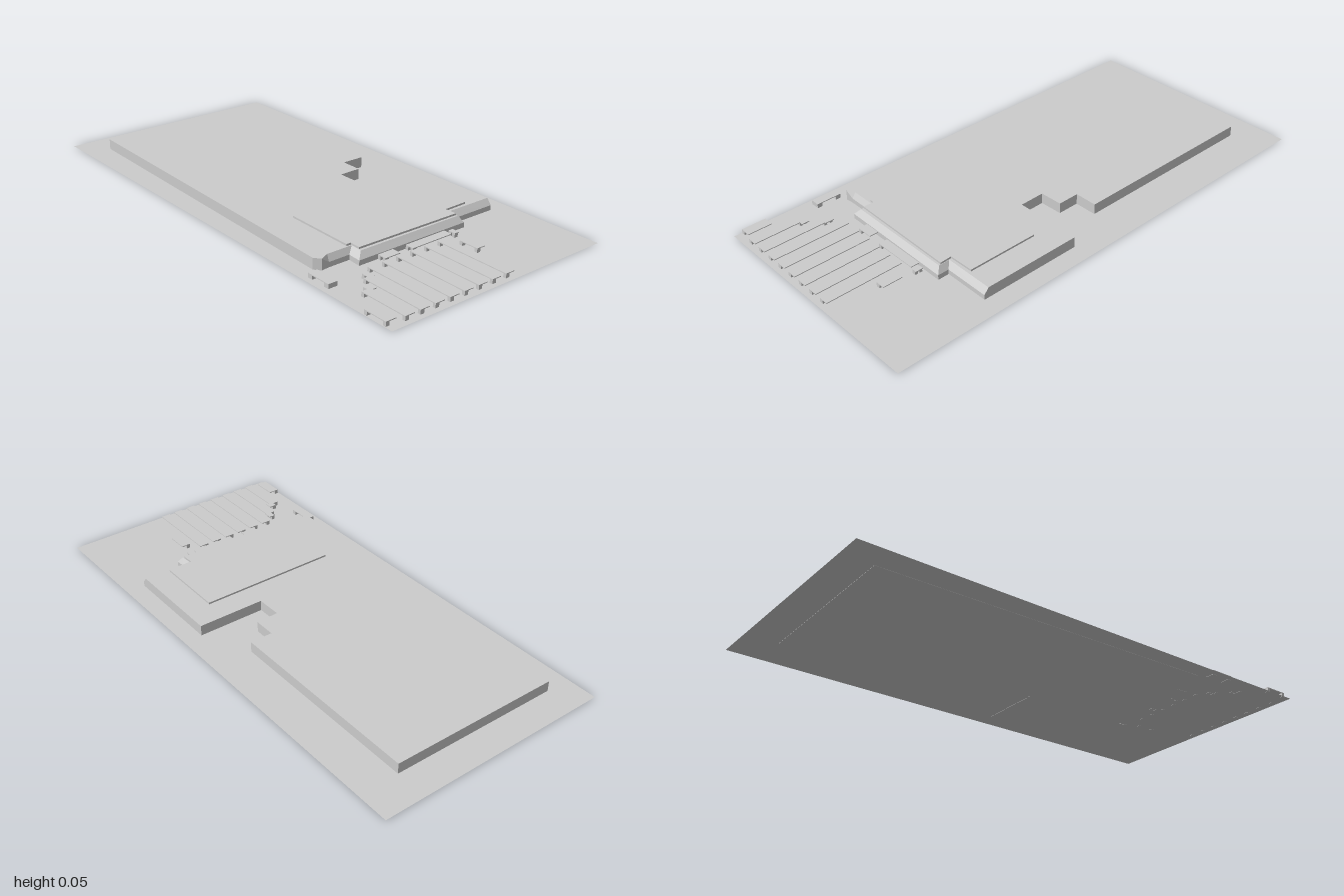
import * as THREE from 'three';

const TILT = 0.06; // the whole site is turned slightly about the vertical
const material = new THREE.MeshStandardMaterial({ color: 0xcccccc, flatShading: true, side: THREE.DoubleSide });

function addMesh(parent, name, geometry) {
  const mesh = new THREE.Mesh(geometry, material);
  mesh.name = name;
  parent.add(mesh);
  return mesh;
}

// Flat plate or prism from a plan outline of [x, z] points
function prism(outline, y0, y1) {
  const shape = new THREE.Shape(outline.map(([x, z]) => new THREE.Vector2(x, -z)));
  const geometry = y1 > y0
    ? new THREE.ExtrudeGeometry(shape, { depth: y1 - y0, bevelEnabled: false })
    : new THREE.ShapeGeometry(shape);
  return geometry.rotateX(-Math.PI / 2).translate(0, y0, 0);
}

// Walls joining matching outlines at successive heights, capped above and below
function loft(rings) {
  const positions = [];
  const push = (y, p) => positions.push(p[0], y, p[1]);
  for (let r = 0; r + 1 < rings.length; r++) {
    const [ya, a] = rings[r], [yb, b] = rings[r + 1];
    for (let i = 0; i < a.length; i++) {
      const j = (i + 1) % a.length;
      push(ya, a[i]); push(yb, b[j]); push(ya, a[j]);
      push(ya, a[i]); push(yb, b[i]); push(yb, b[j]);
    }
  }
  for (const [ring, up] of [[rings[0], false], [rings[rings.length - 1], true]]) {
    const [y, pts] = ring;
    const flat = pts.map(([x, z]) => new THREE.Vector2(x, -z));
    for (const tri of THREE.ShapeUtils.triangulateShape(flat, [])) {
      const [p, q, s] = tri.map((k) => flat[k]);
      const ccw = (q.x - p.x) * (s.y - p.y) - (q.y - p.y) * (s.x - p.x) > 0;
      for (const k of ccw === up ? tri : [...tri].reverse()) push(y, pts[k]);
    }
  }
  const geometry = new THREE.BufferGeometry();
  geometry.setAttribute('position', new THREE.Float32BufferAttribute(positions, 3));
  geometry.computeVertexNormals();
  return geometry;
}

// Thin roof on a short post at each end; x, z is the middle of its plan
function canopy(parent, name, x, z, width, length) {
  const group = new THREE.Group();
  group.name = name;
  group.position.set(x, 0, z);
  group.rotation.y = TILT;
  addMesh(group, 'roof', new THREE.BoxGeometry(width, 0.003, length).translate(0, 0.0165, 0));
  for (const side of [-1, 1]) {
    addMesh(group, 'post', new THREE.BoxGeometry(0.015, 0.015, 0.012)
      .translate(-width / 2 + 0.0075, 0.0075, side * (length / 2 - 0.006)));
  }
  parent.add(group);
}

export function createModel() {
  const model = new THREE.Group();
  model.name = 'siteModel';

  // Ground sheet
  addMesh(model, 'groundSheet', prism([[-0.53, -0.945], [0.41, -1], [0.53, 0.945], [-0.41, 1]], 0.001, 0.001));

  // Main hall with a notch in its left side and a front wall that leans back
  const body = [[-0.42, -0.83], [0.257, -0.863], [0.305, -0.067], [0.215, -0.062],
    [0.22, 0.025], [0.13, 0.033], [0.137, 0.135], [0.405, 0.12]];
  const frontBase = [[0.428, 0.535], [0.245, 0.545], [0.248, 0.59], [-0.232, 0.615],
    [-0.232, 0.562], [-0.318, 0.567], [-0.35, 0.572], [-0.37, 0.55]];
  const frontTop = [[0.427, 0.517], [0.228, 0.528], [0.232, 0.573], [-0.212, 0.596],
    [-0.212, 0.548], [-0.316, 0.554], [-0.35, 0.572], [-0.37, 0.55]];
  const base = [...body, ...frontBase], top = [...body, ...frontTop];
  addMesh(model, 'mainHall', loft([[0, base], [0.02, base], [0.043, top]]));

  // Raised roof over the entrance
  addMesh(model, 'entranceRoof', prism([[-0.245, 0.257], [0.31, 0.225], [0.325, 0.51], [0.225, 0.518],
    [0.23, 0.565], [-0.21, 0.585], [-0.212, 0.543], [-0.23, 0.543]], 0.043, 0.05));

  // Rows of parking canopies, the first two shorter at the back
  for (let i = 0; i < 8; i++) {
    const front = 0.975 - i * 0.0035;
    const back = [0.78, 0.715][i] ?? 0.66 - (i - 2) * 0.003;
    const length = front - back;
    canopy(model, 'parkingCanopy', -0.322 + i * 0.062 - TILT * length / 2, (front + back) / 2, 0.038, length);
  }
  // Offset back ends of the two short rows
  canopy(model, 'parkingCanopyEnd', -0.315, 0.775, 0.03, 0.03);
  canopy(model, 'parkingCanopyEnd', -0.265, 0.705, 0.025, 0.035);

  // Single shelters along the edges and beside the entrance
  const shelters = [[-0.392, 0.635, 0.037, 0.1], [-0.39, 0.92, 0.042, 0.095], [0.16, 0.725, 0.037, 0.08],
    [-0.118, 0.628, 0.065, 0.036], [0.06, 0.62, 0.18, 0.035], [0.172, 0.62, 0.02, 0.03]];
  for (const [x, z, width, length] of shelters) canopy(model, 'shelter', x, z, width, length);

  // End walls of the shelter beside the hall
  for (const z of [0.595, 0.675]) {
    const wall = addMesh(model, 'shelterEndWall', new THREE.BoxGeometry(0.037, 0.018, 0.02));
    wall.position.set(-0.392 + (z - 0.635) * TILT, 0.009, z);
    wall.rotation.y = TILT;
  }
  return model;
}
